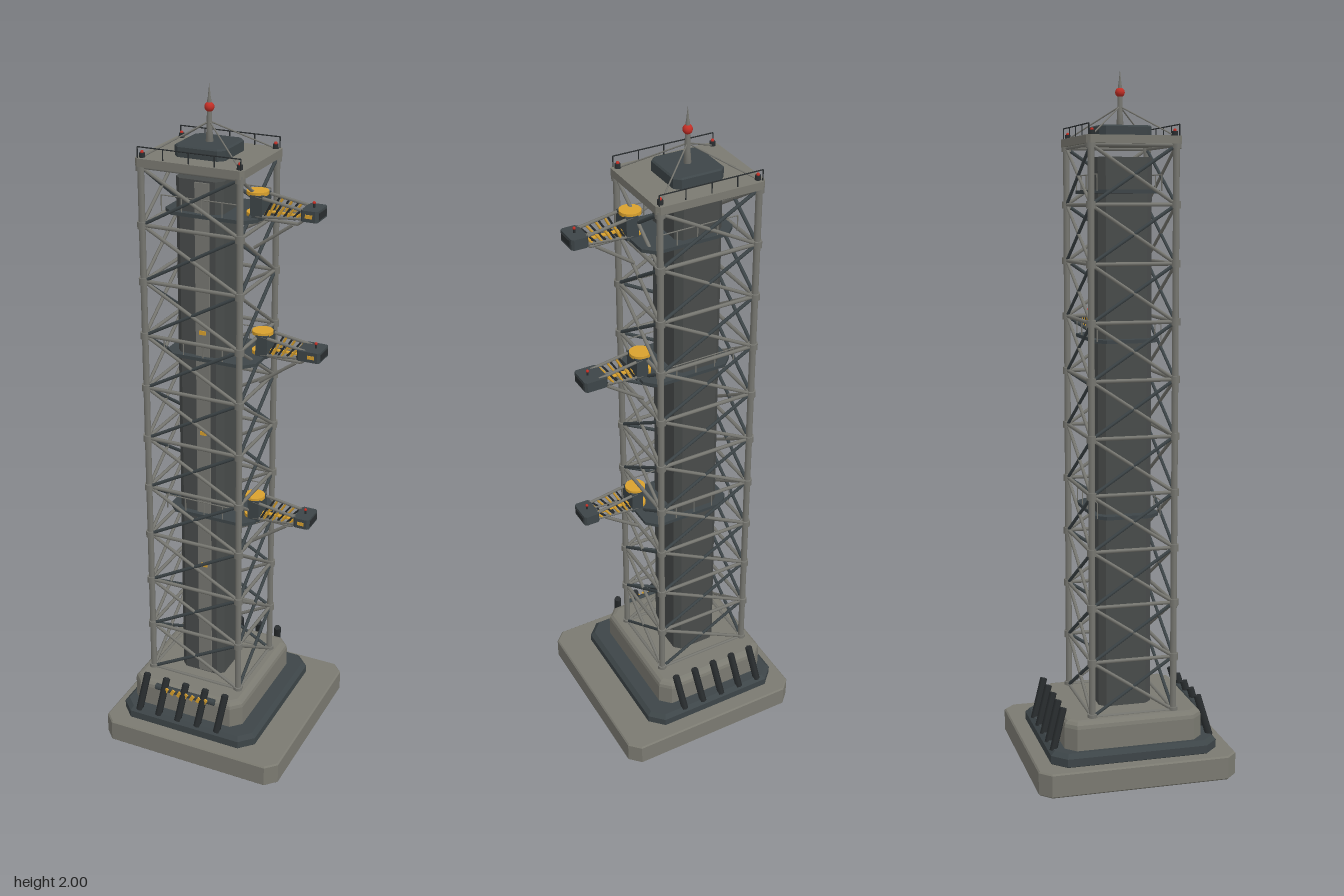
import * as THREE from 'three';
import { mergeGeometries } from 'three/addons/utils/BufferGeometryUtils.js';

const paint = (name, color) => {
  const m = new THREE.MeshStandardMaterial({ color });
  m.name = name;
  return m;
};

const V = (x, y, z) => new THREE.Vector3(x, y, z);

// Straight member between two points
function beam(a, b, r, sides = 6) {
  const dir = b.clone().sub(a);
  const g = new THREE.CylinderGeometry(r, r, dir.length(), sides);
  g.applyQuaternion(new THREE.Quaternion().setFromUnitVectors(V(0, 1, 0), dir.normalize()));
  const mid = a.clone().add(b).multiplyScalar(0.5);
  return g.translate(mid.x, mid.y, mid.z);
}

const box = (w, h, d, x, y, z) => new THREE.BoxGeometry(w, h, d).translate(x, y, z);

// Block with chamfered vertical corners and an optional bevel on its rims
function block(w, d, cut, y0, y1, x = 0, z = 0, bevel = 0, segments = 1) {
  const a = w / 2, b = d / 2;
  const s = new THREE.Shape([
    [-a + cut, -b], [a - cut, -b], [a, -b + cut], [a, b - cut],
    [a - cut, b], [-a + cut, b], [-a, b - cut], [-a, -b + cut],
  ].map(p => new THREE.Vector2(p[0], p[1])));
  const g = new THREE.ExtrudeGeometry(s, {
    depth: y1 - y0 - 2 * bevel, bevelEnabled: bevel > 0, bevelThickness: bevel,
    bevelSize: bevel, bevelOffset: -bevel, bevelSegments: segments,
  });
  return g.rotateX(-Math.PI / 2).translate(x, y0 + bevel, z);
}

export function createModel() {
  const model = new THREE.Group();
  model.name = 'serviceTower';
  const concrete = paint('concrete', 0x7b7a71);
  const steel = paint('steel', 0x777771);
  const dark = paint('darkPanel', 0x3d4548);
  const black = paint('blackSteel', 0x292d2f);
  const core = paint('coreCladding', 0x484b4a);
  const yellow = paint('safetyYellow', 0xd9a12e);
  const red = paint('beaconRed', 0xc22f26);

  const add = (name, mat, geos, parent = model) => {
    const list = [].concat(geos);
    const mesh = new THREE.Mesh(list.length > 1 ? mergeGeometries(list) : list[0], mat);
    mesh.name = name;
    parent.add(mesh);
    return mesh;
  };

  const CX = -0.05, HX = 0.145, HZ = 0.12;

  // Stepped foundation
  add('foundationSlab', concrete, block(0.58, 0.58, 0.032, 0, 0.07, 0, 0, 0.004));
  add('plinth', dark, block(0.445, 0.49, 0.04, 0.06, 0.107, -0.032, 0, 0.012));
  add('pedestal', concrete, block(0.365, 0.405, 0.03, 0.08, 0.19, -0.048, 0, 0.02, 3));

  // Leaning buttresses along the front and back of the pedestal
  const buttresses = [];
  for (const s of [-1, 1]) for (let i = 0; i < 5; i++) {
    const x = -0.182 + i * 0.066;
    buttresses.push(beam(V(x - 0.007, 0.1, s * 0.233), V(x + 0.007, 0.218, s * 0.2), 0.011, 6));
  }
  add('buttresses', black, buttresses);
  add('frontPipe', dark, beam(V(-0.145, 0.182, 0.203), V(0.055, 0.182, 0.203), 0.01, 6));
  const pedestalMarks = [];
  for (let i = 0; i < 7; i++) {
    const g = new THREE.BoxGeometry(0.011, 0.02, 0.004).rotateZ(-0.5);
    pedestalMarks.push(g.translate(-0.105 + i * 0.022, 0.183, 0.214));
  }
  add('frontHazardMarks', yellow, pedestalMarks);

  // Central shaft with raised cladding strip
  add('shaft', core, block(0.142, 0.155, 0.018, 0.18, 1.76, CX));
  add('shaftStrip', steel, box(0.042, 1.56, 0.006, CX + 0.015, 0.975, 0.079));
  add('shaftMarks', yellow, [0.58, 1.02, 1.33].map(y => box(0.02, 0.012, 0.006, CX + 0.015, y, 0.081)));

  // Lattice tower: legs, nodes, rings and crossed braces
  const corners = [[-1, -1], [1, -1], [1, 1], [-1, 1]];
  const at = (k, y) => V(CX + corners[k % 4][0] * HX, y, corners[k % 4][1] * HZ);
  const legs = [], nodes = [], rings = [], lightBraces = [], darkBraces = [];
  const bays = 10, y0 = 0.19, step = 0.16;
  for (let k = 0; k < 4; k++) {
    legs.push(beam(at(k, 0.17), at(k, 1.8), 0.0095, 8));
    for (let i = 0; i <= bays; i++) {
      const y = y0 + i * step, p = at(k, y);
      nodes.push(new THREE.CylinderGeometry(0.014, 0.014, 0.02, 8).translate(p.x, y, p.z));
      rings.push(beam(p, at(k + 1, y), 0.0055));
      if (i === bays) continue;
      lightBraces.push(beam(p, at(k + 1, y + step), 0.005));
      darkBraces.push(beam(at(k, y + step), at(k + 1, y), 0.005));
    }
  }
  add('towerLegs', steel, legs);
  add('legNodes', steel, nodes);
  add('ringBeams', steel, rings);
  add('risingBraces', steel, lightBraces);
  add('fallingBraces', dark, darkBraces);

  // Roof deck, cap, railings and mast
  add('roofDeck', concrete, block(0.318, 0.268, 0.01, 1.793, 1.815, CX));
  add('roofCap', dark, block(0.148, 0.15, 0.016, 1.81, 1.846, CX, 0, 0.004));
  const rails = [];
  for (const s of [-1, 1]) {
    rails.push(beam(V(CX - 0.15, 1.845, s * 0.127), V(CX + 0.15, 1.845, s * 0.127), 0.0018, 5));
    for (let i = 0; i < 5; i++) {
      const x = CX - 0.15 + i * 0.075;
      rails.push(beam(V(x, 1.81, s * 0.127), V(x, 1.845, s * 0.127), 0.0018, 5));
    }
  }
  add('roofRailings', black, rails);
  add('mast', steel, new THREE.LatheGeometry(
    [[0, 1.84], [0.011, 1.84], [0.008, 1.88], [0.006, 1.955], [0.0045, 1.96], [0, 2]]
      .map(p => new THREE.Vector2(p[0], p[1])), 10).translate(CX, 0, 0));
  add('mastBeacon', red, new THREE.SphereGeometry(0.0135, 14, 10).translate(CX, 1.938, 0));
  add('guyWires', steel, corners.map(c =>
    beam(V(CX, 1.9, 0), V(CX + c[0] * 0.142, 1.815, c[1] * 0.116), 0.0022, 5)));
  add('cornerLampBases', black, corners.map(c =>
    new THREE.CylinderGeometry(0.008, 0.009, 0.014, 8).translate(CX + c[0] * 0.142, 1.82, c[1] * 0.116)));
  add('cornerLamps', red, corners.map(c =>
    new THREE.SphereGeometry(0.005, 8, 6).translate(CX + c[0] * 0.142, 1.829, c[1] * 0.116)));

  // Swing arm with its service platform, origin at arm centre height
  function swingArm(y, z, headStart) {
    const arm = new THREE.Group();
    arm.name = 'swingArm';
    arm.position.y = y;
    const put = (name, mat, geos) => add(name, mat, geos, arm);

    // Platform and handrail
    put('platform', dark, block(0.272, 0.19, 0.03, -0.036, -0.026, -0.016));
    const rail = [];
    for (const s of [-1, 1]) {
      rail.push(beam(V(-0.15, 0.015, s * 0.092), V(0.09, 0.015, s * 0.092), 0.0018, 5));
      for (let i = 0; i < 5; i++) {
        rail.push(beam(V(-0.15 + i * 0.06, -0.03, s * 0.092), V(-0.15 + i * 0.06, 0.015, s * 0.092), 0.0018, 5));
      }
    }
    put('platformRail', steel, rail);

    // Pivot hub
    put('pivotHousing', dark, box(0.035, 0.066, 0.06, 0.112, 0.002, z));
    put('pivotCap', yellow, [0.037, -0.02].map(h =>
      new THREE.CylinderGeometry(0.03, 0.03, 0.01, 20).translate(0.104, h, z)));

    // Tapered boom
    const boom = [], lacing = [], stripes = [];
    for (const s of [-1, 1]) {
      const zz = z + s * 0.026;
      boom.push(beam(V(0.11, 0.032, zz), V(0.25, 0.01, zz), 0.0045));
      boom.push(beam(V(0.11, -0.022, zz), V(0.25, -0.01, zz), 0.0045));
      for (let i = 0; i < 4; i++) {
        const x = 0.135 + i * 0.027, h = 0.024 - i * 0.004;
        lacing.push(beam(V(x, -0.018 + i * 0.002, zz), V(x + 0.022, h, zz), 0.003));
        stripes.push(beam(V(x + 0.011, -0.017 + i * 0.002, zz), V(x + 0.03, h - 0.003, zz), 0.0035));
      }
    }
    for (let i = 0; i < 3; i++) {
      const x = 0.15 + i * 0.035;
      lacing.push(beam(V(x, -0.016, z - 0.026), V(x, -0.016, z + 0.026), 0.003));
    }
    put('boomChords', steel, boom);
    put('boomLacing', black, lacing);
    put('boomStripes', yellow, stripes);
    put('boomWalkway', yellow, box(0.13, 0.004, 0.012, 0.18, -0.012, z));

    // Head with lamp
    put('armHead', dark, block(0.288 - headStart, 0.074, 0.006, -0.015, 0.015, (0.288 + headStart) / 2, z));
    put('headPad', black, box(0.004, 0.018, 0.05, 0.288, 0, z));
    put('headMark', yellow, box(0.02, 0.01, 0.004, 0.264, 0, z + 0.037));
    put('headLampPost', black, beam(V(0.264, 0.014, z), V(0.264, 0.027, z), 0.003));
    put('headLamp', red, new THREE.SphereGeometry(0.0045, 8, 6).translate(0.264, 0.028, z));

    // Underslung brace
    put('armBrace', steel, [
      beam(V(0.095, -0.118, z), V(0.205, -0.04, z), 0.005),
      beam(V(0.1, -0.034, z), V(0.22, -0.036, z), 0.0045),
      beam(V(0.22, -0.036, z), V(0.25, -0.012, z), 0.0045),
    ]);
    model.add(arm);
  }
  swingArm(0.785, 0.027, 0.24);
  swingArm(1.285, -0.017, 0.22);
  swingArm(1.697, 0.027, 0.24);

  return model;
}
